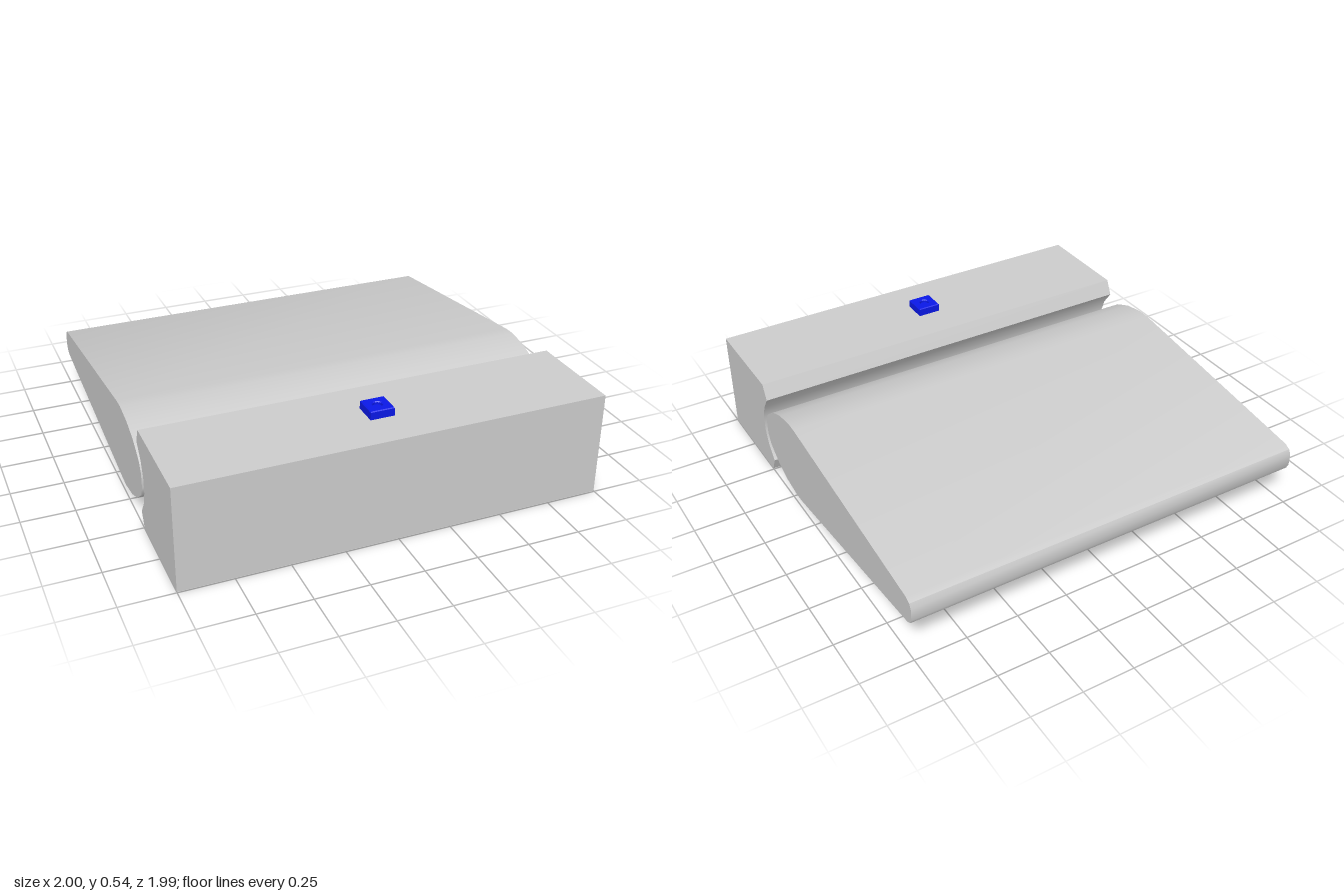
import * as THREE from 'three';
import { toCreasedNormals } from 'three/addons/utils/BufferGeometryUtils.js';

const CENTRE_Y = 0.25;

// Sweep a side profile, mirrored about the centre height, across the full width.
// upper: [z, height above centre] running from one end to the other
function sweepProfile(name, upper, material, crease) {
  const lower = upper.slice().reverse().map(([z, h]) => [z, -h]);
  const points = [...upper, ...lower].map(([z, h]) => new THREE.Vector2(z, CENTRE_Y + h));
  const geometry = new THREE.ExtrudeGeometry(new THREE.Shape(points), { depth: 2, bevelEnabled: false });
  geometry.translate(0, 0, -1).rotateY(-Math.PI / 2);
  const mesh = new THREE.Mesh(toCreasedNormals(geometry, crease), material);
  mesh.name = name;
  return mesh;
}

export function createModel() {
  const model = new THREE.Group();
  model.name = 'hingedFlap';
  const grey = new THREE.MeshStandardMaterial({ color: 0xcccccc });
  const blue = new THREE.MeshStandardMaterial({ color: 0x0a18e6 });

  // Fixed block with a concave socket along its rear face
  model.add(sweepProfile('mountingBlock', [
    [0.995, 0.25], [0.507, 0.25], [0.473, 0.178], [0.523, 0.11], [0.548, 0.04],
  ], grey, 0.7));

  // Tapered flap with a rounded nose and a small rounded tail
  model.add(sweepProfile('flap', [
    [0.512, 0.037], [0.488, 0.087], [0.46, 0.11], [0.4, 0.152], [0.31, 0.188], [0.2, 0.207], [0.14, 0.205],
    [-0.955, 0.068], [-0.982, 0.054], [-0.994, 0.03],
  ], grey, 0.62));

  // Small square button with a shallow recess in its top
  const button = new THREE.Group();
  button.name = 'button';
  button.position.set(0, 0.5, 0.747);
  const half = 0.053;
  const outline = new THREE.Shape([
    new THREE.Vector2(-half, -half), new THREE.Vector2(half, -half),
    new THREE.Vector2(half, half), new THREE.Vector2(-half, half),
  ]);
  const hole = new THREE.Path();
  hole.absarc(0, 0, 0.026, 0, Math.PI * 2, true);
  outline.holes.push(hole);
  const rimGeometry = new THREE.ExtrudeGeometry(outline, {
    depth: 0.036, bevelThickness: 0.004, bevelSize: 0.004, bevelSegments: 1, curveSegments: 8,
  });
  rimGeometry.rotateX(-Math.PI / 2);
  const rim = new THREE.Mesh(rimGeometry, blue);
  rim.name = 'buttonRim';
  const floor = new THREE.Mesh(new THREE.CylinderGeometry(0.028, 0.028, 0.026, 16), blue);
  floor.name = 'buttonRecess';
  floor.position.y = 0.013;
  button.add(rim, floor);
  model.add(button);

  return model;
}
